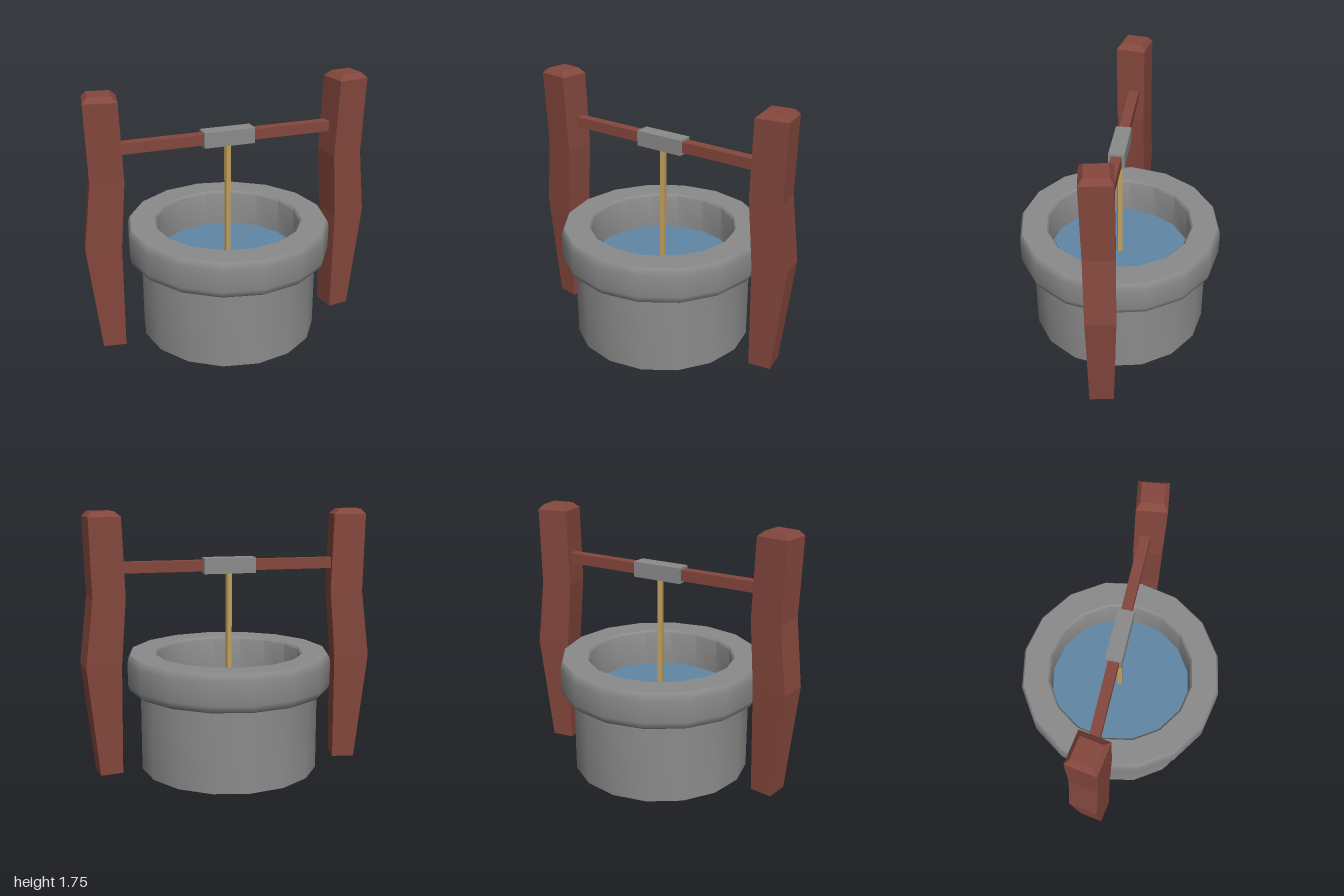
import * as THREE from 'three';
import { toCreasedNormals } from 'three/addons/utils/BufferGeometryUtils.js';

function material(name, color) {
  const m = new THREE.MeshStandardMaterial({ color });
  m.name = name;
  return m;
}

// Post sections from bottom to top: y, centre x, centre z, width, depth
const POST_SECTIONS = [
  [0.005, 0.833, 0, 0.152, 0.16],
  [0.75, 0.868, -0.007, 0.237, 0.192],
  [1.2, 0.823, 0.003, 0.218, 0.196],
  [1.72, 0.838, 0.01, 0.214, 0.2],
  [1.755, 0.842, 0.007, 0.145, 0.145],
];

// A box whose rows are moved onto the sections; side is 1 (left) or -1 (right)
function postGeometry(side) {
  const rows = POST_SECTIONS.length - 1;
  const geo = new THREE.BoxGeometry(1, 1, 1, 1, rows, 1);
  const pos = geo.attributes.position;
  const turn = 0.15 * side;
  const cos = Math.cos(turn), sin = Math.sin(turn);
  for (let i = 0; i < pos.count; i++) {
    const [y, cx, cz, w, d] = POST_SECTIONS[Math.round((pos.getY(i) + 0.5) * rows)];
    const x = pos.getX(i) * w, z = pos.getZ(i) * d;
    pos.setXYZ(i, cx * side + x * cos + z * sin, y, cz - x * sin + z * cos);
  }
  const flat = geo.toNonIndexed();
  flat.computeVertexNormals();
  return flat;
}

export function createModel() {
  const model = new THREE.Group();
  model.name = 'well';

  const stone = material('stone grey', 0x8b8b8b);
  const wood = material('red brown wood', 0x84473d);
  const water = material('water blue', 0x6088a6);
  const rope = material('rope tan', 0xc2a05e);

  function add(name, geometry, mat, x = 0, y = 0, z = 0) {
    const mesh = new THREE.Mesh(geometry, mat);
    mesh.name = name;
    mesh.position.set(x, y, z);
    model.add(mesh);
    return mesh;
  }

  // Round wall with a thick rolled rim and a hollow inside
  const profile = [
    [0, 0], [0.607, 0], [0.607, 0.55],
    [0.665, 0.55], [0.683, 0.565], [0.692, 0.6], [0.692, 0.75], [0.685, 0.785], [0.675, 0.8],
    [0.505, 0.8], [0.492, 0.785], [0.492, 0.5],
  ].map(([r, y]) => new THREE.Vector2(r, y));
  add('wall', toCreasedNormals(new THREE.LatheGeometry(profile, 16), 0.75), stone);

  // Water surface
  add('water', new THREE.CircleGeometry(0.495, 16), water, 0, 0.54, 0).rotation.x = -Math.PI / 2;

  // Crooked posts
  add('leftPost', postGeometry(1), wood);
  add('rightPost', postGeometry(-1), wood);

  // Crossbeam, its sleeve and the hanging rope
  add('crossbeam', new THREE.BoxGeometry(1.5, 0.072, 0.068), wood, 0, 1.389, -0.004);
  add('sleeve', new THREE.BoxGeometry(0.35, 0.104, 0.104), stone, 0, 1.388, -0.004);
  add('rope', new THREE.BoxGeometry(0.032, 0.82, 0.032), rope, 0, 0.945, -0.004).rotation.y = 0.2;

  return model;
}
